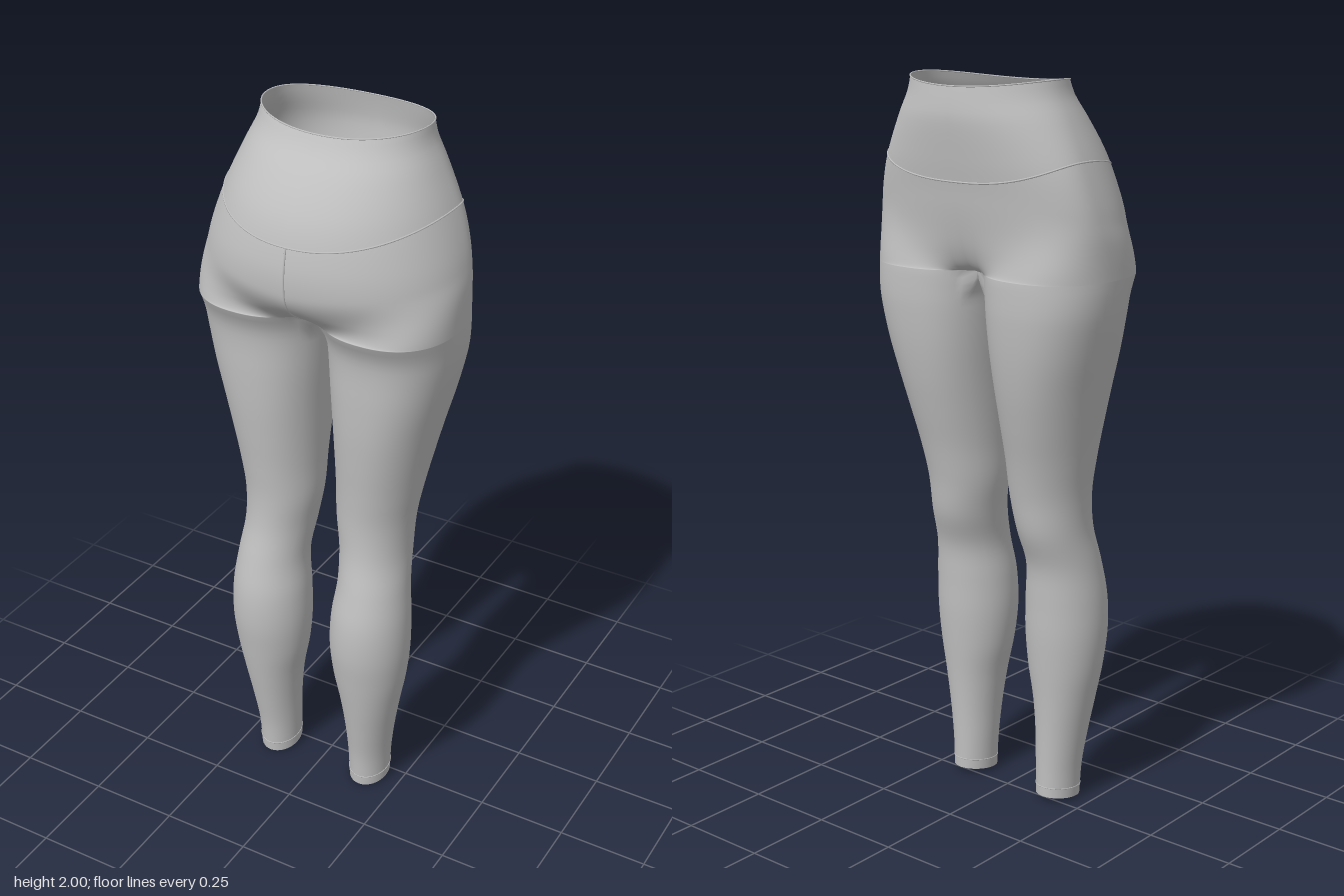
import * as THREE from 'three';
import { mergeVertices } from 'three/addons/utils/BufferGeometryUtils.js';

const CROTCH = 1.5;
const OUTER = 48, INNER = 14, N = OUTER + INNER; // points around one leg
const GAP = THREE.MathUtils.degToRad(32);        // half angle of the inner-thigh arc

// Body profile: height, outer x, inner x, rear z, belly-side z
const PROFILE = [
  [0, 0.207, 0.095, 0.108, -0.03], [0.1, 0.212, 0.092, 0.115, -0.03],
  [0.2, 0.225, 0.087, 0.132, -0.032], [0.3, 0.243, 0.075, 0.15, -0.037],
  [0.4, 0.262, 0.055, 0.166, -0.045], [0.5, 0.272, 0.046, 0.178, -0.052],
  [0.6, 0.27, 0.05, 0.175, -0.055], [0.7, 0.259, 0.061, 0.154, -0.062],
  [0.8, 0.249, 0.052, 0.131, -0.094], [0.9, 0.252, 0.037, 0.125, -0.11],
  [1.0, 0.268, 0.034, 0.131, -0.13], [1.1, 0.288, 0.03, 0.141, -0.155],
  [1.2, 0.31, 0.025, 0.15, -0.178], [1.3, 0.335, 0.018, 0.155, -0.195],
  [1.4, 0.356, 0.011, 0.158, -0.205], [1.45, 0.362, 0.007, 0.166, -0.206],
  [1.5, 0.365, 0, 0.19, -0.205], [1.55, 0.364, 0, 0.224, -0.202],
  [1.62, 0.359, 0, 0.24, -0.202], [1.7, 0.343, 0, 0.236, -0.209],
  [1.8, 0.31, 0, 0.207, -0.224], [1.9, 0.266, 0, 0.145, -0.235],
  [1.96, 0.238, 0, 0.1, -0.231], [2, 0.23, 0, 0.077, -0.225],
];

const { lerp, smoothstep, clamp } = THREE.MathUtils;
const spow = (v, p) => Math.sign(v) * Math.abs(v) ** p;

// Smooth interpolation of the profile at height y
function profile(y) {
  const last = PROFILE.length - 1;
  let i = 0;
  while (i < last - 1 && PROFILE[i + 1][0] < y) i++;
  const slope = (k, c) => {
    const a = PROFILE[Math.max(k - 1, 0)], b = PROFILE[Math.min(k + 1, last)];
    return (b[c] - a[c]) / (b[0] - a[0]);
  };
  const p = PROFILE[i], q = PROFILE[i + 1], h = q[0] - p[0], u = (y - p[0]) / h;
  return [1, 2, 3, 4].map(c =>
    (1 + 2 * u) * (1 - u) ** 2 * p[c] + u * (1 - u) ** 2 * h * slope(i, c) +
    u * u * (3 - 2 * u) * q[c] + u * u * (u - 1) * h * slope(i + 1, c));
}

// Point j on one leg's closed ring, running rear, outside, belly side, inner thigh
function legPoint(y, j) {
  const [xo, xi, zb, zf] = profile(Math.min(y, CROTCH));
  const a = j <= OUTER
    ? GAP + (2 * Math.PI - 2 * GAP) * j / OUTER
    : -GAP + 2 * GAP * (j - OUTER) / INNER;
  const e = 2 / lerp(2, 2.3, smoothstep(y, 0.9, 1.4));
  let x = (xo + xi) / 2 - (xo - xi) / 2 * spow(Math.cos(a), e);
  const z = (zb + zf) / 2 + (zb - zf) / 2 * spow(Math.sin(a), e);
  if (j >= OUTER || j === 0) x *= 1 - smoothstep(y, 1.42, CROTCH);
  // the hem is slightly higher over the instep
  const hem = 0.018 * (1 - smoothstep(y, 0, 0.15)) * clamp((zb - z) / (zb - zf), 0, 1);
  return new THREE.Vector3(x, y + hem, z);
}

// Point on one half of the hips; t runs from centre rear (0) to centre belly (1)
function hipPoint(y, t) {
  const [xo, , zb, zf] = profile(y);
  const s = Math.sin(Math.PI * t), c = Math.cos(Math.PI * t);
  const cz = y > 1.8 ? -0.076 : lerp(-0.02, -0.076, smoothstep(y, 1.5, 1.8));
  const e = 2 / (c > 0 ? 2.1 : lerp(2.6, 2.05, smoothstep(y, 1.6, 2)));
  const x = t === 0 || t === 1 ? 0 : xo * Math.abs(s) ** e;
  const z = cz + (c > 0 ? zb - cz : cz - zf) * spow(c, e);
  // blend out of the two separate thighs
  const k = clamp((y - CROTCH) / lerp(0.11, 0.2, t), 0, 1);
  const w = lerp(k * k * (3 - 2 * k), Math.sqrt(k * (2 - k)), c ** 4);
  const leg = legPoint(CROTCH, t * OUTER);
  const dip = 0.018 * c * c * smoothstep(y, 1.85, 2);
  return new THREE.Vector3(lerp(leg.x, x, w), y - dip, lerp(leg.z, z, w));
}

// Both mirrored legs and hips as a single smooth skin
function skinGeometry() {
  const pos = [], index = [];
  const addGrid = (rows, side, closed) => {
    const base = pos.length / 3, n = rows[0].length;
    rows.flat().forEach(p => pos.push(p.x * side, p.y, p.z));
    for (let r = 0; r < rows.length - 1; r++) {
      for (let j = 0; j < (closed ? n : n - 1); j++) {
        const a = base + r * n + j, b = base + r * n + (j + 1) % n, c = b + n, d = a + n;
        if (side > 0) index.push(a, b, c, a, c, d);
        else index.push(a, c, b, a, d, c);
      }
    }
  };
  const legRows = [], hipRows = [];
  for (let r = 0; r <= 75; r++) {
    legRows.push(Array.from({ length: N }, (_, j) => legPoint(CROTCH * r / 75, j)));
  }
  for (let r = 0; r <= 44; r++) {
    const y = CROTCH + (2 - CROTCH) * (r / 44) ** 1.7;
    hipRows.push(Array.from({ length: OUTER + 1 }, (_, j) => hipPoint(y, j / OUTER)));
  }
  for (const side of [1, -1]) {
    addGrid(legRows, side, true);
    addGrid(hipRows, side, false);
  }
  let g = new THREE.BufferGeometry();
  g.setAttribute('position', new THREE.Float32BufferAttribute(pos, 3));
  g.setIndex(index);
  g = mergeVertices(g, 1e-5);
  g.computeVertexNormals();
  return g;
}

export function createModel() {
  const group = new THREE.Group();
  const fabric = new THREE.MeshStandardMaterial({ color: 0xbfbfbf, side: THREE.DoubleSide });
  fabric.name = 'greyFabric';

  const add = (name, geometry) => {
    const mesh = new THREE.Mesh(geometry, fabric);
    mesh.name = name;
    group.add(mesh);
  };
  const seam = (name, points, closed, radius = 0.0025) => add(name,
    new THREE.TubeGeometry(new THREE.CatmullRomCurve3(points, closed), points.length * 2, radius, 6, closed));

  // Closed loop around the hips, with height given by t
  const hipLoop = heightAt => Array.from({ length: 64 }, (_, i) => {
    const t = i <= 32 ? i / 32 : (64 - i) / 32;
    const p = hipPoint(heightAt(t), t);
    if (i > 32) p.x *= -1;
    return p;
  });

  add('leggings', skinGeometry());
  seam('waistbandSeam', hipLoop(t => 1.8 - 0.06 * Math.cos(Math.PI * t) ** 2), true);
  seam('waistRim', hipLoop(() => 1.998), true, 0.002);
  seam('rearSeam', Array.from({ length: 20 }, (_, i) => hipPoint(1.515 + 0.225 * i / 19, 0)), false, 0.003);

  // Stitched hems at the ankles
  for (const side of [1, -1]) {
    const ring = Array.from({ length: N }, (_, j) => legPoint(0.03, j));
    ring.forEach(p => { p.x *= side; });
    seam(side > 0 ? 'leftHemSeam' : 'rightHemSeam', ring, true, 0.0015);
  }
  return group;
}
